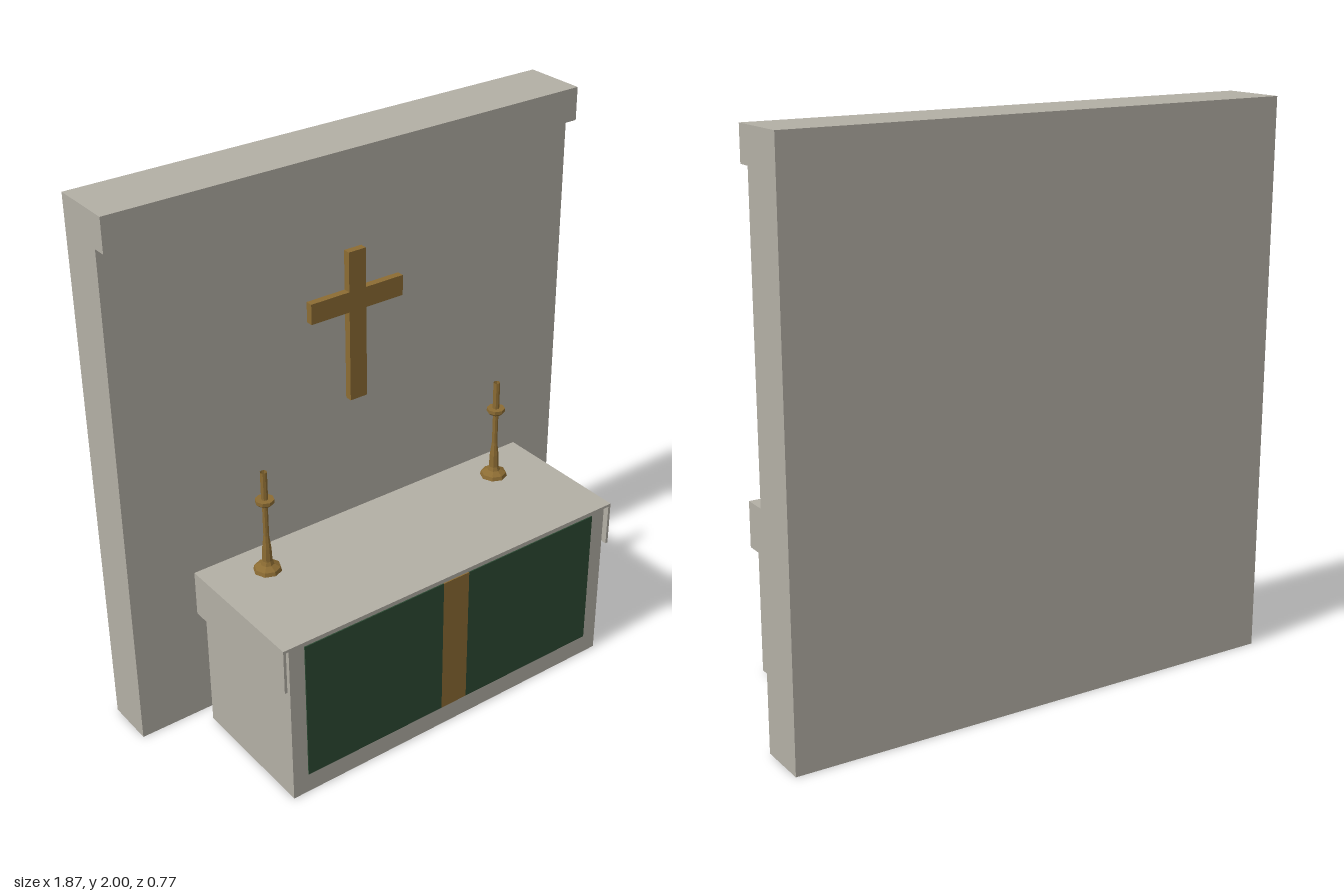
import * as THREE from 'three';

const material = (name, color, double = true) => {
  const m = new THREE.MeshStandardMaterial({ color, side: double ? THREE.DoubleSide : THREE.FrontSide });
  m.name = name;
  m.flatShading = true;
  return m;
};

// Extrudes an outline of [x, y] points from z = 0 to z = depth
function extrude(points, depth) {
  const shape = new THREE.Shape(points.map(([x, y]) => new THREE.Vector2(x, y)));
  return new THREE.ExtrudeGeometry(shape, { depth, bevelEnabled: false });
}

// Removes the faces lying on the ground, leaving the shell open below
function openBottom(geometry) {
  const g = geometry.index ? geometry.toNonIndexed() : geometry;
  const p = g.attributes.position;
  const kept = [];
  for (let i = 0; i < p.count; i += 3) {
    if (Math.max(p.getY(i), p.getY(i + 1), p.getY(i + 2)) < 1e-5) continue;
    for (let k = i; k < i + 3; k++) kept.push(p.getX(k), p.getY(k), p.getZ(k));
  }
  const out = new THREE.BufferGeometry();
  out.setAttribute('position', new THREE.Float32BufferAttribute(kept, 3));
  out.computeVertexNormals();
  return out;
}

export function createModel() {
  const model = new THREE.Group();
  model.name = 'altar';
  const stone = material('stone', 0xb3afa5);
  const green = material('green cloth', 0x2d4b34);
  const brass = material('brass', 0x8c6c33);

  const add = (name, geometry, mat, x = 0, y = 0, z = 0) => {
    const mesh = new THREE.Mesh(geometry, mat);
    mesh.name = name;
    mesh.position.set(x, y, z);
    model.add(mesh);
    return mesh;
  };

  // Back wall with its overhanging cornice, one L-shaped section in z and y
  const wall = extrude([[-0.385, 0], [-0.2, 0], [-0.2, 1.88], [-0.15, 1.88], [-0.15, 2], [-0.385, 2]], 1.87);
  wall.translate(0, 0, -0.935).rotateY(-Math.PI / 2);
  add('backWall', openBottom(wall), stone);

  // Altar block
  const block = new THREE.BoxGeometry(1.37, 0.63, 0.515).translate(0, 0.315, 0.12);
  add('altarBlock', openBottom(block), stone);

  // Top slab with a thin drop at each end
  const cover = extrude([
    [-0.71, 0.47], [-0.7, 0.47], [-0.7, 0.63], [0.7, 0.63],
    [0.7, 0.47], [0.71, 0.47], [0.71, 0.64], [-0.71, 0.64],
  ], 0.537);
  add('altarCover', cover, stone, 0, 0, -0.152);

  // Front hanging: two green panels either side of a brass stripe
  for (const side of [-1, 1]) {
    add(side > 0 ? 'leftHanging' : 'rightHanging',
      new THREE.BoxGeometry(0.57, 0.54, 0.004), green, side * 0.34, 0.347, 0.3795);
  }
  add('centreStripe', new THREE.BoxGeometry(0.11, 0.54, 0.004), brass, 0, 0.347, 0.3795);

  // Wall cross
  const cross = extrude([
    [-0.035, 1.07], [0.035, 1.07], [0.035, 1.41], [0.19, 1.41], [0.19, 1.485], [0.035, 1.485],
    [0.035, 1.63], [-0.035, 1.63], [-0.035, 1.485], [-0.19, 1.485], [-0.19, 1.41], [-0.035, 1.41],
  ], 0.027);
  add('cross', cross, brass, 0, 0, -0.2);

  // Candlesticks, eight-sided and open at the tip
  const profile = [
    [0.05, 0], [0.046, 0.014], [0.024, 0.026], [0.018, 0.04], [0.016, 0.09], [0.01, 0.14],
    [0.01, 0.255], [0.022, 0.262], [0.033, 0.272], [0.033, 0.285], [0.012, 0.285], [0.012, 0.39],
  ].map(([r, y]) => new THREE.Vector2(r, y));
  const stick = new THREE.LatheGeometry(profile, 8);
  for (const side of [-1, 1]) {
    add(side > 0 ? 'leftCandlestick' : 'rightCandlestick', stick, brass, side * 0.5, 0.64, -0.02);
  }

  return model;
}
